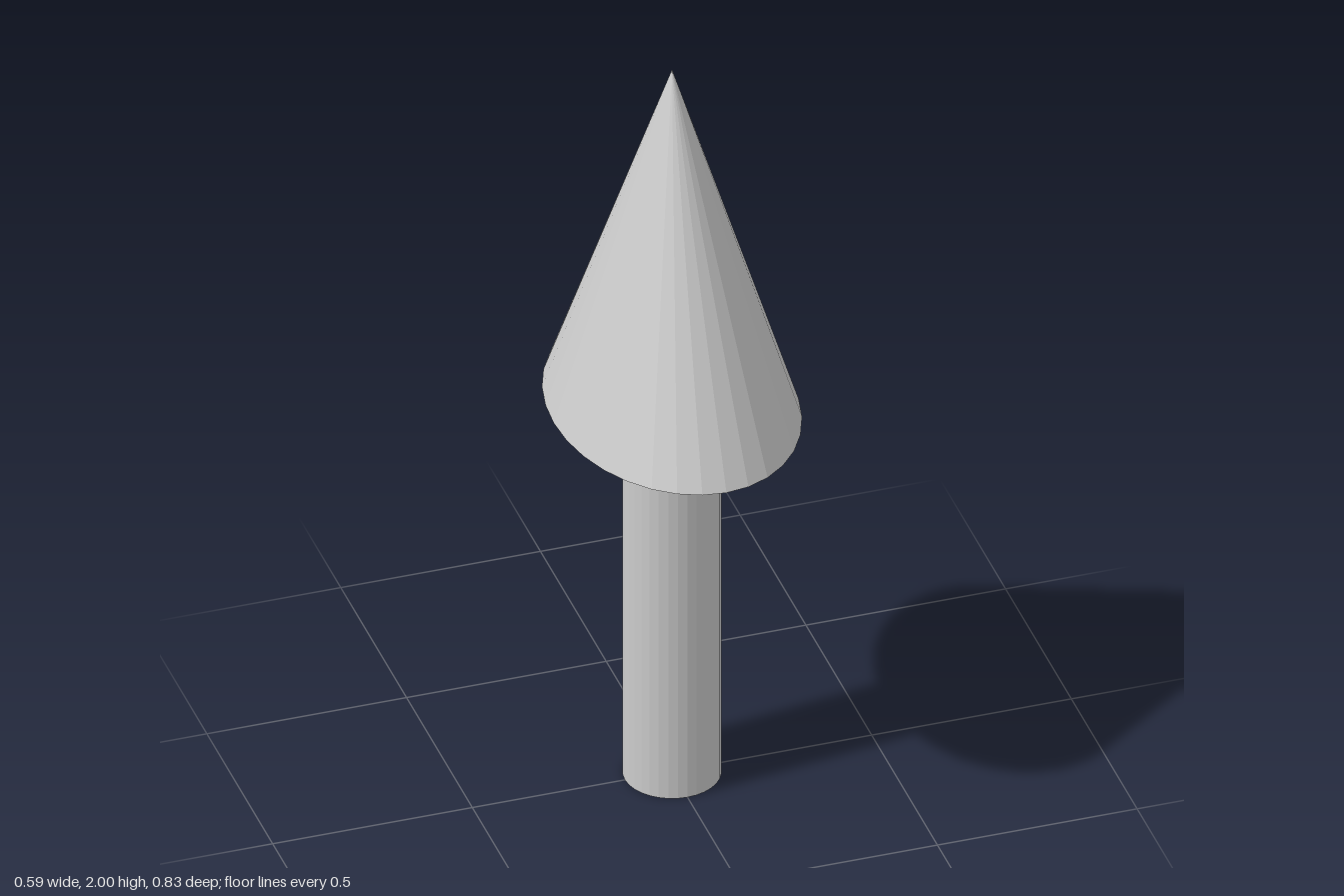
import * as THREE from 'three';

const SIDES = 32;
const HEIGHT = 2;
const CONE_BASE = 1.053;

export function createModel() {
  const group = new THREE.Group();
  const material = new THREE.MeshStandardMaterial({ color: 0xcccccc, flatShading: true });

  const add = (name, geometry, y) => {
    const mesh = new THREE.Mesh(geometry, material);
    mesh.name = name;
    mesh.position.y = y;
    group.add(mesh);
  };

  // Round post standing on the ground
  add('shaft', new THREE.CylinderGeometry(0.118, 0.118, CONE_BASE, SIDES), CONE_BASE / 2);

  // Cone with an oval base, wider from front to back
  const coneHeight = HEIGHT - CONE_BASE;
  const cone = new THREE.ConeGeometry(1, coneHeight, SIDES).scale(0.296, 1, 0.414);
  add('cone', cone, CONE_BASE + coneHeight / 2);

  return group;
}
